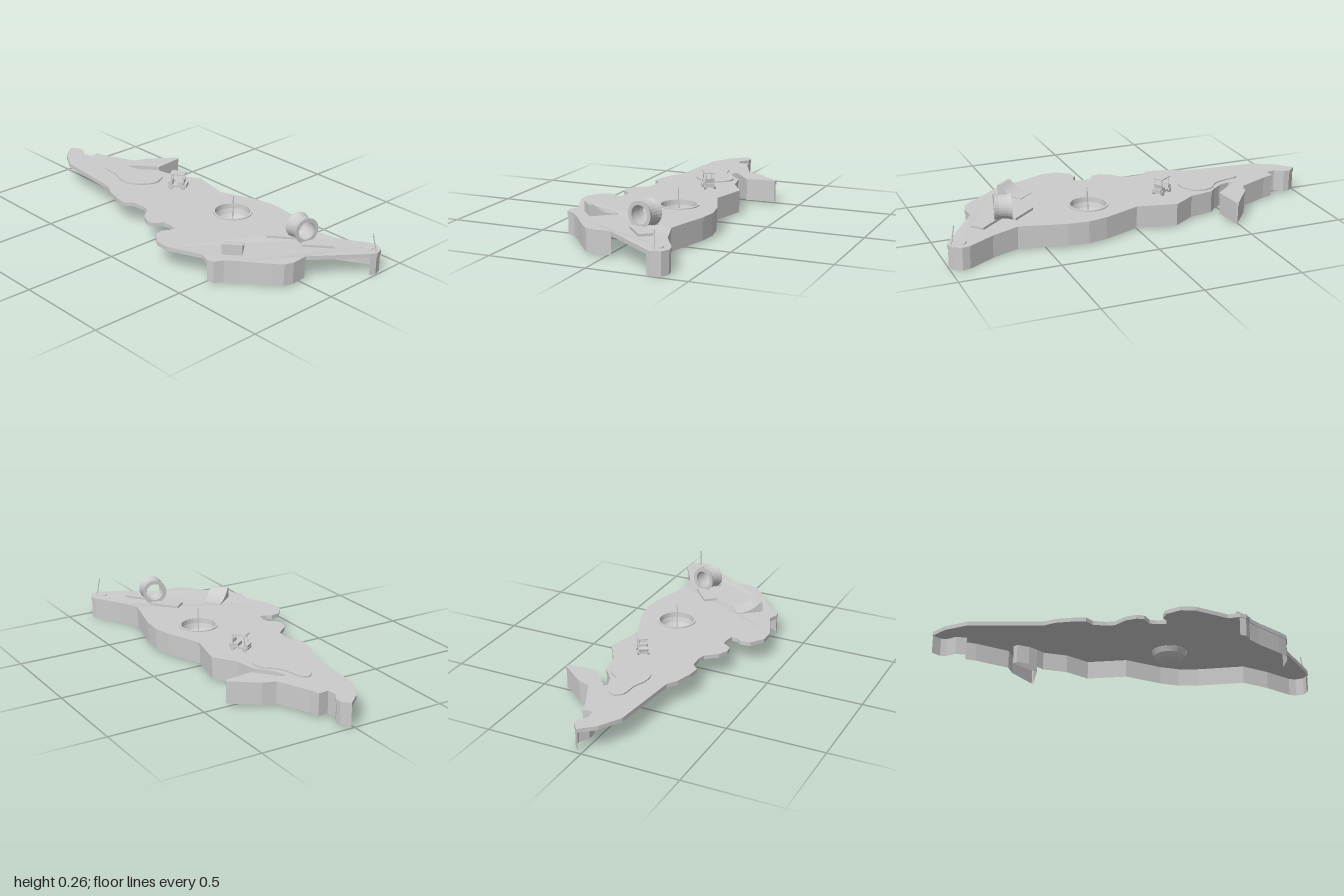
import * as THREE from 'three';

const TOP = 0.126, UNDER = 0.105;
const mat = new THREE.MeshStandardMaterial({ color: 0xcccccc, flatShading: true, side: THREE.DoubleSide });

// Coastline as x, z pairs, clockwise seen from above
const pairs = (a) => Array.from({ length: a.length / 2 }, (_, i) => [a[2 * i], a[2 * i + 1]]);
const eastCoast = pairs([0.02, -1, 0.055, -0.96, 0.055, -0.925, 0.025, -0.88, 0.03, -0.83, 0.085, -0.835,
  0.1, -0.78, 0.175, -0.615, 0.24, -0.595, 0.375, -0.49, 0.37, -0.475, 0.215, -0.46, 0.145, -0.545,
  0.11, -0.585, 0.095, -0.57, 0.115, -0.51, 0.145, -0.47, 0.18, -0.435, 0.205, -0.31, 0.28, -0.195,
  0.235, 0.005, 0.31, 0.195, 0.33, 0.295, 0.32, 0.4, 0.26, 0.635, 0.3, 0.77, 0.38, 0.905,
  0.387, 0.945, 0.365, 0.985, 0.32, 1, 0.29, 0.985]);
const southCoast = pairs([0.03, 0.805, -0.055, 0.81, -0.105, 0.795, -0.145, 0.75, -0.235, 0.63,
  -0.285, 0.575, -0.33, 0.55, -0.34, 0.515]);
const westCoast = pairs([-0.32, 0.46, -0.39, 0.29, -0.388, 0.215, -0.34, 0.15, -0.29, 0.14, -0.265, 0.16,
  -0.23, 0.165, -0.22, 0.115, -0.225, 0.08, -0.27, 0.05, -0.275, 0.01, -0.25, -0.04, -0.19, -0.09,
  -0.18, -0.13, -0.185, -0.2, -0.22, -0.235, -0.215, -0.29, -0.19, -0.385, -0.155, -0.44,
  -0.12, -0.82, -0.055, -0.935]);

// The corner with the flag sinks a little
const clamp01 = (v) => Math.min(1, Math.max(0, v));
const dip = (x, z) => 0.01 * clamp01((x - 0.2) / 0.1) * clamp01((z - 0.63) / 0.15);

function add(parent, name, geometry, x = 0, y = 0, z = 0, turn = 0) {
  const mesh = new THREE.Mesh(geometry, mat);
  mesh.name = name;
  mesh.position.set(x, y, z);
  mesh.rotation.y = turn;
  parent.add(mesh);
  return mesh;
}

// Horizontal plate from an x, z outline
function plate(points, depth, hole, curved) {
  const v = points.map(([x, z]) => new THREE.Vector2(x, -z));
  const shape = new THREE.Shape();
  if (curved) {
    shape.moveTo(v[0].x, v[0].y);
    shape.splineThru([...v.slice(1), v[0]]);
  } else shape.setFromPoints(v);
  if (hole) shape.holes.push(new THREE.Path().absarc(hole[0], -hole[1], hole[2], 0, Math.PI * 2, true));
  return new THREE.ExtrudeGeometry(shape, { depth, bevelEnabled: false, curveSegments: curved ? 3 : 12 })
    .rotateX(-Math.PI / 2);
}

// Hanging wall following a stretch of coast, slightly inset under the slab
function skirt(points) {
  const inset = points.map(([x, z], i) => {
    const a = points[Math.max(0, i - 1)], b = points[Math.min(points.length - 1, i + 1)];
    const dx = b[0] - a[0], dz = b[1] - a[1], l = Math.hypot(dx, dz);
    return [x - (dz / l) * 0.004, z + (dx / l) * 0.004];
  });
  const pos = [], index = [];
  inset.forEach(([x, z], i) => {
    const d = dip(x, z);
    pos.push(x, UNDER + 0.002 - d, z, x, 0.01 - d, z);
    if (i) {
      const k = 2 * i;
      index.push(k - 2, k, k - 1, k, k + 1, k - 1);
    }
  });
  const g = new THREE.BufferGeometry();
  g.setAttribute('position', new THREE.Float32BufferAttribute(pos, 3));
  g.setIndex(index);
  g.computeVertexNormals();
  return g;
}

// Thin rod between two points
function rod(parent, name, a, b, r) {
  const path = new THREE.LineCurve3(new THREE.Vector3(...a), new THREE.Vector3(...b));
  return add(parent, name, new THREE.TubeGeometry(path, 1, r, 6));
}

function makeCart() {
  const cart = new THREE.Group();
  cart.name = 'cart';
  const box = (name, w, h, d, x, y, z) => add(cart, name, new THREE.BoxGeometry(w, h, d), x, y, z);
  box('chassis', 0.05, 0.01, 0.1, 0, 0.018, 0);
  box('hood', 0.046, 0.02, 0.022, 0, 0.03, -0.037).rotation.x = -0.25;
  box('seat', 0.046, 0.016, 0.03, 0, 0.031, 0.018);
  box('seatBack', 0.046, 0.022, 0.006, 0, 0.046, 0.034).rotation.x = 0.15;
  box('rearTray', 0.046, 0.012, 0.014, 0, 0.028, 0.044);
  box('roof', 0.054, 0.005, 0.078, 0, 0.085, 0.002);
  for (const s of [-1, 1]) {
    rod(cart, 'frontPost', [s * 0.021, 0.03, -0.034], [s * 0.021, 0.084, -0.026], 0.0018);
    rod(cart, 'rearPost', [s * 0.021, 0.03, 0.036], [s * 0.021, 0.084, 0.03], 0.0018);
    for (const z of [-0.032, 0.032])
      add(cart, 'wheel', new THREE.CylinderGeometry(0.012, 0.012, 0.01, 12).rotateZ(Math.PI / 2), s * 0.025, 0.012, z);
  }
  rod(cart, 'steeringColumn', [-0.01, 0.03, -0.026], [-0.01, 0.052, -0.012], 0.0015);
  return cart;
}

export function createModel() {
  const model = new THREE.Group();
  model.name = 'islandCourse';

  // Land slab with an opening for the bowl
  const slab = plate([...eastCoast, ...southCoast, ...westCoast], TOP - UNDER, [0.115, 0.22, 0.092]);
  const p = slab.attributes.position;
  for (let i = 0; i < p.count; i++) p.setY(i, p.getY(i) + UNDER - dip(p.getX(i), p.getZ(i)));
  slab.computeVertexNormals();
  add(model, 'land', slab);
  add(model, 'eastCliff', skirt(eastCoast));
  add(model, 'southCliff', skirt(southCoast));

  // Sunken bowl with a rim, and its pole
  const bowl = [[0, 0.045], [0.035, 0.047], [0.06, 0.06], [0.078, 0.08], [0.088, 0.105], [0.09, 0.131],
    [0.102, 0.131], [0.102, 0.124]].map(([r, y]) => new THREE.Vector2(r, y));
  add(model, 'bowl', new THREE.LatheGeometry(bowl, 28), 0.115, 0, 0.22);
  rod(model, 'bowlPole', [0.115, 0.045, 0.22], [0.115, 0.215, 0.225], 0.003);

  // Raised green
  const green = pairs([0.015, -0.655, 0.05, -0.635, 0.065, -0.565, 0.09, -0.5, 0.145, -0.45, 0.16, -0.395,
    0.135, -0.34, 0.06, -0.307, -0.005, -0.335, -0.05, -0.395, -0.055, -0.465, -0.03, -0.535, -0.022, -0.62]);
  add(model, 'green', plate(green, 0.007, null, true), 0, TOP, 0);

  // Cart
  const cart = makeCart();
  cart.position.set(0.107, TOP, -0.185);
  cart.rotation.y = 0.6;
  model.add(cart);

  // Loop obstacle: a waisted ring with one lane in and one out
  const ring = [[0.046, -0.043], [0.066, -0.043], [0.064, -0.036], [0.059, -0.02], [0.058, 0], [0.059, 0.02],
    [0.064, 0.036], [0.066, 0.043], [0.046, 0.043], [0.05, 0.02], [0.05, -0.02], [0.046, -0.043]]
    .map(([r, y]) => new THREE.Vector2(r, y));
  add(model, 'loop', new THREE.LatheGeometry(ring, 24).rotateX(Math.PI / 2), 0.142, 0.192, 0.672, -0.24);
  for (const [x, z] of [[0.108, 0.582], [0.165, 0.762]])
    add(model, 'loopLane', new THREE.BoxGeometry(0.07, 0.012, 0.16), x, 0.133, z, 0.7);

  // Quarter-pipe ramp: deck, concave slope, thin toe
  const side = new THREE.Shape();
  side.moveTo(0.07, 0);
  side.lineTo(-0.07, 0);
  side.lineTo(-0.07, 0.055);
  side.lineTo(-0.055, 0.055);
  side.quadraticCurveTo(-0.015, 0.006, 0.07, 0.003);
  const ramp = new THREE.ExtrudeGeometry(side, { depth: 0.1, bevelEnabled: false, curveSegments: 8 });
  add(model, 'ramp', ramp.translate(0, 0, -0.05), -0.165, TOP - 0.001, 0.515, 0.7);

  // Hole cup and leaning flag pole
  add(model, 'holeRing', new THREE.CylinderGeometry(0.027, 0.03, 0.008, 20), 0.325, 0.119, 0.935);
  rod(model, 'flagPole', [0.331, 0.115, 0.982], [0.323, 0.205, 0.965], 0.003);
  return model;
}
